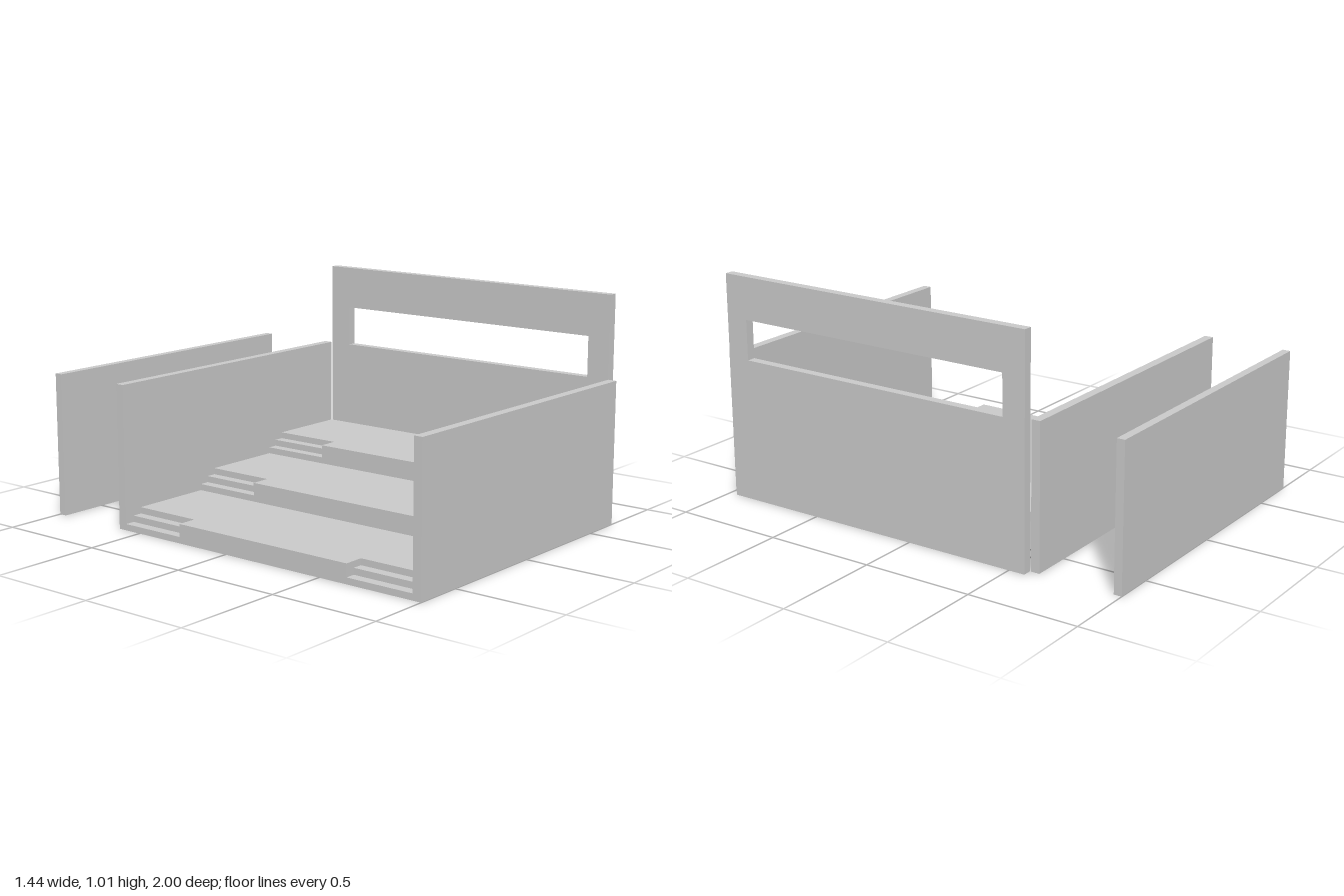
import * as THREE from 'three';

const material = new THREE.MeshStandardMaterial({ color: 0xcccccc, flatShading: true });

// Box given by its lower and upper bounds on each axis
function slab(parent, name, [x0, x1], [y0, y1], [z0, z1]) {
  const mesh = new THREE.Mesh(new THREE.BoxGeometry(x1 - x0, y1 - y0, z1 - z0), material);
  mesh.position.set((x0 + x1) / 2, (y0 + y1) / 2, (z0 + z1) / 2);
  mesh.name = name;
  parent.add(mesh);
}

// Upright side wall with a long window, drawn in (z, y) and extruded along x
function windowWall() {
  const shape = new THREE.Shape();
  shape.moveTo(-0.96, 0).lineTo(0.575, 0).lineTo(0.575, 1.01).lineTo(-0.96, 1.01).closePath();
  const hole = new THREE.Path();
  hole.moveTo(-0.855, 0.64).lineTo(-0.855, 0.82).lineTo(0.47, 0.82).lineTo(0.47, 0.64).closePath();
  shape.holes.push(hole);
  const geometry = new THREE.ExtrudeGeometry(shape, { depth: 0.04, bevelEnabled: false });
  geometry.rotateY(Math.PI / 2);
  const mesh = new THREE.Mesh(geometry, material);
  mesh.position.x = 0.682;
  mesh.name = 'windowWall';
  return mesh;
}

export function createModel() {
  const group = new THREE.Group();
  const back = -0.58, front = 0.96;
  const rise = 0.085, run = 0.47, thick = 0.028;
  const stepRun = 0.045, aisle = 0.32;

  // Long walls, one of them standing apart behind the stand
  slab(group, 'frontWall', [-0.722, 0.682], [0, 0.64], [front, 1]);
  slab(group, 'backWall', [-0.722, 0.682], [0, 0.64], [-0.62, back]);
  slab(group, 'detachedWall', [-0.722, 0.682], [0, 0.64], [-1, -0.964]);
  group.add(windowWall());

  // Three hollow tiers, each with small aisle steps cut in at both ends
  for (let i = 0; i < 3; i++) {
    const tier = new THREE.Group();
    tier.name = 'tier' + (i + 1);
    group.add(tier);
    const x = -0.722 + i * run;
    const base = i * rise, top = base + rise;
    const xEnd = i === 2 ? 0.682 : x + run;
    const inner = x + 2 * stepRun;
    const zNear = front - aisle, zFar = back + aisle;

    slab(tier, 'riser', [x, x + thick], [0, top], [zFar, zNear]);
    slab(tier, 'treadFront', [x + thick, inner], [top - thick, top], [zFar, zNear]);
    slab(tier, 'tread', [inner, xEnd], [top - thick, top], [back, front]);

    for (const z of [[back, zFar], [zNear, front]]) {
      const low = base + rise / 3, mid = base + 2 * rise / 3;
      const under = Math.max(0, base - thick / 2);
      slab(tier, 'aisleRiser', [x, x + thick], [0, low], z);
      slab(tier, 'lowerStep', [x + thick, x + stepRun], [low - 0.02, low], z);
      slab(tier, 'upperStep', [x + stepRun, inner], [under, mid], z);
    }
    // Cheeks closing the sides of the aisle cut
    slab(tier, 'cheek', [x + thick, inner], [base + 0.002, top - thick], [zFar, zFar + 0.02]);
    slab(tier, 'cheek', [x + thick, inner], [base + 0.002, top - thick], [zNear - 0.02, zNear]);
  }
  return group;
}
